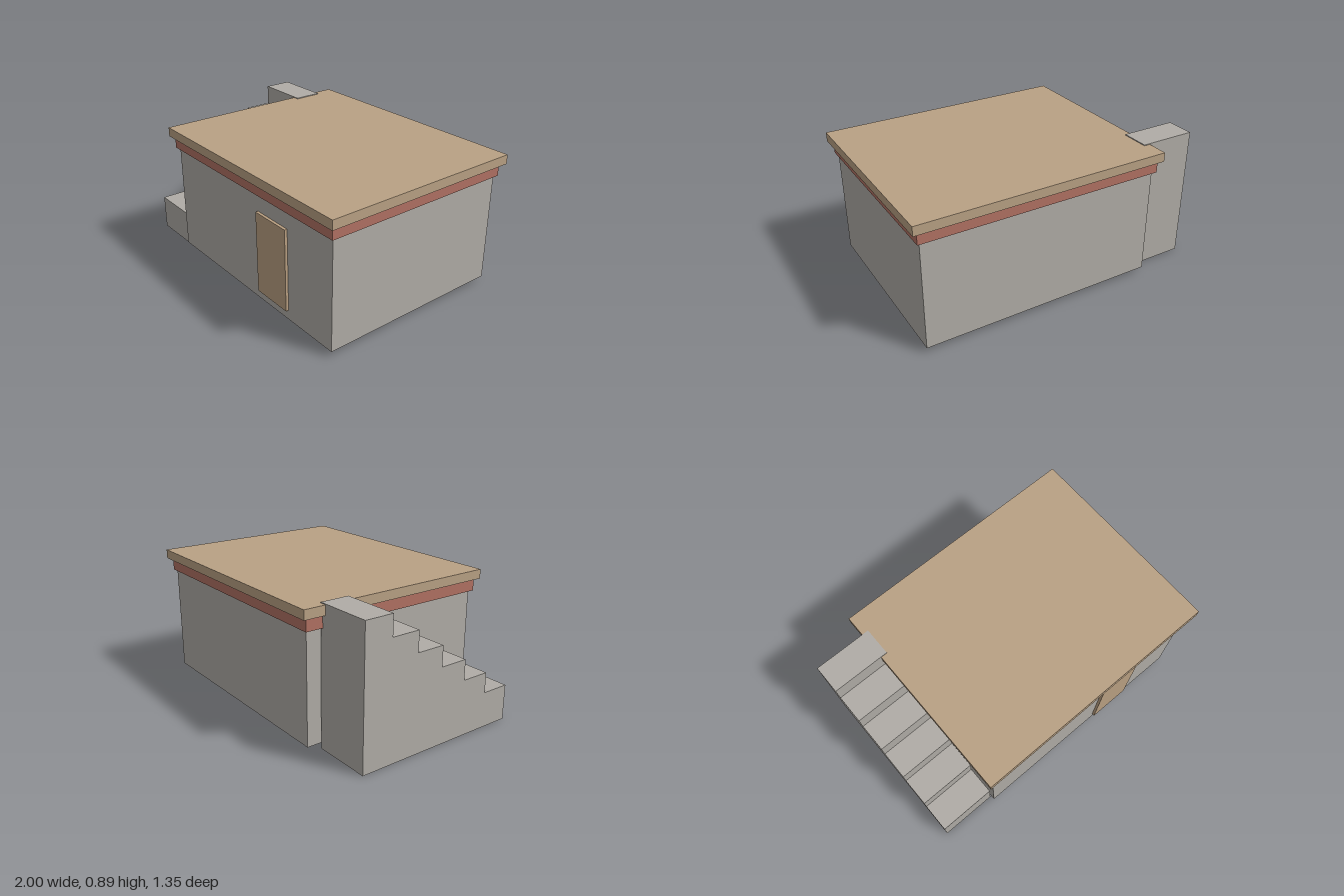
import * as THREE from 'three';

export function createModel() {
  const model = new THREE.Group();
  const mat = (name, color) => {
    const m = new THREE.MeshStandardMaterial({ color });
    m.name = name;
    return m;
  };
  const stone = mat('stone grey', 0xb0aca6);
  const brick = mat('brick red', 0xb17163);
  const clay = mat('roof tan', 0xb9a184);
  const wood = mat('door wood', 0xbaa082);

  // Box given by its minimum and maximum corners
  const box = (name, material, [x0, y0, z0], [x1, y1, z1]) => {
    const mesh = new THREE.Mesh(new THREE.BoxGeometry(x1 - x0, y1 - y0, z1 - z0), material);
    mesh.position.set((x0 + x1) / 2, (y0 + y1) / 2, (z0 + z1) / 2);
    mesh.name = name;
    model.add(mesh);
  };

  box('walls', stone, [-0.618, 0.035, -0.627], [0.948, 0.745, 0.629]);
  box('cornice', brick, [-0.642, 0.743, -0.645], [0.966, 0.822, 0.647]);
  box('roofSlab', clay, [-0.667, 0.822, -0.674], [0.998, 0.882, 0.676]);
  box('door', wood, [0.275, 0.097, 0.62], [0.557, 0.631, 0.647]);

  // Outside stairs: stepped side profile, rising towards the back
  const front = 0.597, back = -0.534, steps = 6;
  const tread = (front - back) / steps;
  const firstRise = 0.23, rise = 0.1315;
  const profile = new THREE.Shape();
  profile.moveTo(back, 0);
  profile.lineTo(front, 0);
  for (let i = 0; i < steps; i++) {
    const y = firstRise + i * rise;
    profile.lineTo(front - i * tread, y);
    profile.lineTo(front - (i + 1) * tread, y);
  }
  profile.closePath();
  const stairs = new THREE.Mesh(
    new THREE.ExtrudeGeometry(profile, { depth: 0.376, bevelEnabled: false }), stone);
  stairs.rotation.y = -Math.PI / 2; // profile x becomes z, depth runs towards -x
  stairs.position.x = -0.624;
  stairs.name = 'stairs';
  model.add(stairs);

  return model;
}
